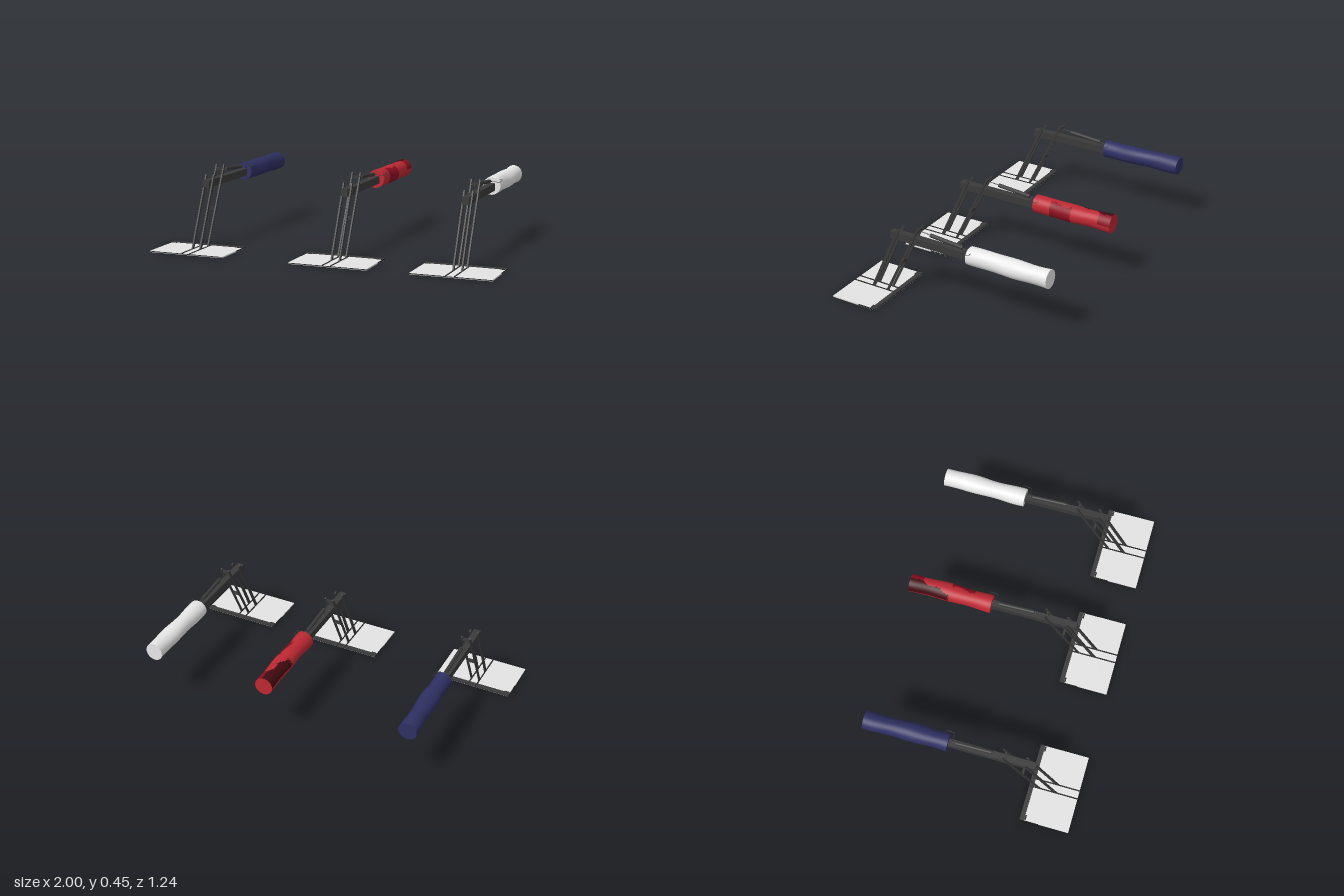
import * as THREE from 'three';

const mat = (name, color) => {
  const m = new THREE.MeshStandardMaterial({ color });
  m.name = name;
  return m;
};

export function createModel() {
  const steel = mat('dark steel', 0x3a3a3a);
  const black = mat('black metal', 0x262626);
  const pane = mat('light plate', 0xe3e3e3);
  const under = mat('plate underside', 0xc4c4c4);
  const red = mat('red grip', 0xbe2833);
  const deepRed = mat('deep red grip', 0x8e0f20);
  const darkRed = mat('dark red grip', 0x430a10);
  const blue = mat('blue grip', 0x2f2f63);
  const white = mat('white grip', 0xebebeb);

  const add = (group, name, geometry, material, x = 0, y = 0, z = 0) => {
    const mesh = new THREE.Mesh(geometry, material);
    mesh.name = name;
    mesh.position.set(x, y, z);
    group.add(mesh);
    return mesh;
  };
  const box = (group, name, material, size, pos) =>
    add(group, name, new THREE.BoxGeometry(...size), material, ...pos);

  // flat bar in the yz plane between two [y, z] points
  const bar = (group, name, material, x, [y0, z0], [y1, z1], thick, width) => {
    const mesh = box(group, name, material,
      [thick, Math.hypot(y1 - y0, z1 - z0), width], [x, (y0 + y1) / 2, (z0 + z1) / 2]);
    mesh.rotation.x = Math.atan2(z1 - z0, y1 - y0);
  };
  // round rod in the yz plane between two [y, z] points
  const rod = (group, name, material, [y0, z0], [y1, z1], r) => {
    const mesh = add(group, name,
      new THREE.CylinderGeometry(r, r, Math.hypot(y1 - y0, z1 - z0), 12), material,
      0, (y0 + y1) / 2, (z0 + z1) / 2);
    mesh.rotation.x = Math.atan2(z1 - z0, y1 - y0);
  };

  // colour slot of a red grip face: 0 base, 1 dark, 2 deep
  const patchAt = (x, y, z) => {
    if (Math.hypot(x, y) < 0.044) return 0;
    const edge = 0.008 - (z + 0.2) * 0.17 + 0.008 * Math.sin(z * 60);
    if (y > 0.002 && z < -0.01 && x < edge) return 1;
    if (y > 0 && z < -0.17) return 2;
    if (x > 0.022 + 0.01 * Math.sin(z * 40) && z > 0 && z < 0.14) return 2;
    return 0;
  };

  // soft, slightly lumpy cylinder along z
  const gripGeometry = (seed, patched) => {
    const geo = new THREE.CylinderGeometry(0.051, 0.051, 0.485, 32, 32);
    geo.rotateX(Math.PI / 2);
    const p = geo.attributes.position;
    for (let i = 0; i < p.count; i++) {
      const x = p.getX(i), y = p.getY(i), z = p.getZ(i);
      const a = Math.atan2(y, x);
      const s = 1 + 0.03 * Math.sin(z * 26 + seed) + 0.025 * Math.sin(2 * a + z * 19 + seed);
      p.setXYZ(i, x * s + 0.002 * Math.sin(z * 13 + seed), y * s, z);
    }
    geo.computeVertexNormals();
    // weld the shading across the side seam
    const n = geo.attributes.normal;
    for (let row = 0; row <= 32; row++) {
      const a = row * 33, b = a + 32;
      const v = new THREE.Vector3().fromBufferAttribute(n, a)
        .add(new THREE.Vector3().fromBufferAttribute(n, b)).normalize();
      n.setXYZ(a, v.x, v.y, v.z);
      n.setXYZ(b, v.x, v.y, v.z);
    }
    if (!patched) {
      geo.clearGroups();
      return geo;
    }
    // one group per run of faces sharing a colour
    geo.clearGroups();
    const index = geo.index;
    const centre = new THREE.Vector3(), corner = new THREE.Vector3();
    for (let f = 0; f < index.count; f += 3) {
      centre.set(0, 0, 0);
      for (let k = 0; k < 3; k++) {
        centre.addScaledVector(corner.fromBufferAttribute(p, index.getX(f + k)), 1 / 3);
      }
      const slot = patchAt(centre.x, centre.y, centre.z);
      const last = geo.groups[geo.groups.length - 1];
      if (last && last.materialIndex === slot) last.count += 3;
      else geo.addGroup(f, 3, slot);
    }
    return geo;
  };

  const buildTool = (name, x, gripMaterial, seed) => {
    const tool = new THREE.Group();
    tool.name = name;
    tool.position.x = x;

    // base plate with rear strip, thin edges and rails
    box(tool, 'plateUnderside', under, [0.454, 0.004, 0.284], [0, 0.002, 0.479]);
    box(tool, 'plateTop', pane, [0.454, 0.004, 0.284], [0, 0.006, 0.479]);
    box(tool, 'rearStrip', steel, [0.455, 0.009, 0.026], [0, 0.0065, 0.349]);
    box(tool, 'frontEdge', black, [0.455, 0.004, 0.002], [0, 0.005, 0.6205]);
    for (const s of [-1, 1]) {
      box(tool, 'sideEdge', black, [0.002, 0.007, 0.11], [s * 0.227, 0.005, 0.391]);
      box(tool, 'cornerClip', black, [0.03, 0.002, 0.008], [s * 0.208, 0.0085, 0.367]);
      box(tool, 'plateRail', black, [0.007, 0.004, 0.284], [s * 0.024, 0.009, 0.479]);
      // linkage arms
      bar(tool, 'frontArm', steel, s * 0.024, [0.008, 0.492], [0.41, 0.306], 0.008, 0.018);
      bar(tool, 'rearArm', steel, s * 0.024, [0.008, 0.397], [0.45, 0.177], 0.008, 0.013);
    }
    box(tool, 'armBrace', steel, [0.045, 0.018, 0.012], [0, 0.213, 0.295]);
    box(tool, 'topBrace', steel, [0.045, 0.016, 0.012], [0, 0.427, 0.189]);

    // main beam and pivot pins
    box(tool, 'beam', steel, [0.04, 0.042, 0.505], [0, 0.364, 0.113]);
    for (const z of [0.327, 0.22]) {
      const pin = add(tool, 'pivotPin', new THREE.CylinderGeometry(0.005, 0.005, 0.057, 12), steel, 0, 0.364, z);
      pin.rotation.z = Math.PI / 2;
    }

    // strut above the beam
    rod(tool, 'strutRod', steel, [0.427, 0.185], [0.393, -0.16], 0.002);
    rod(tool, 'strutBody', steel, [0.419, 0.113], [0.402, -0.092], 0.011);

    // thin wire trigger beside the grip
    const wire = new THREE.CurvePath();
    const pts = [[0, 0.396, -0.115], [0.055, 0.396, -0.115], [0.056, 0.402, -0.162], [0.03, 0.404, -0.162]]
      .map(q => new THREE.Vector3(...q));
    for (let i = 0; i < 3; i++) wire.add(new THREE.LineCurve3(pts[i], pts[i + 1]));
    add(tool, 'trigger', new THREE.TubeGeometry(wire, 24, 0.0015, 6), steel);

    const patched = gripMaterial === red;
    add(tool, 'grip', gripGeometry(seed, patched),
      patched ? [red, darkRed, deepRed] : gripMaterial, 0, 0.368, -0.3775);
    return tool;
  };

  const model = new THREE.Group();
  model.name = 'toolSet';
  model.add(
    buildTool('blueTool', -0.7725, blue, 0.4),
    buildTool('redTool', 0.078, red, 1.7),
    buildTool('whiteTool', 0.7725, white, 2.9));
  return model;
}
